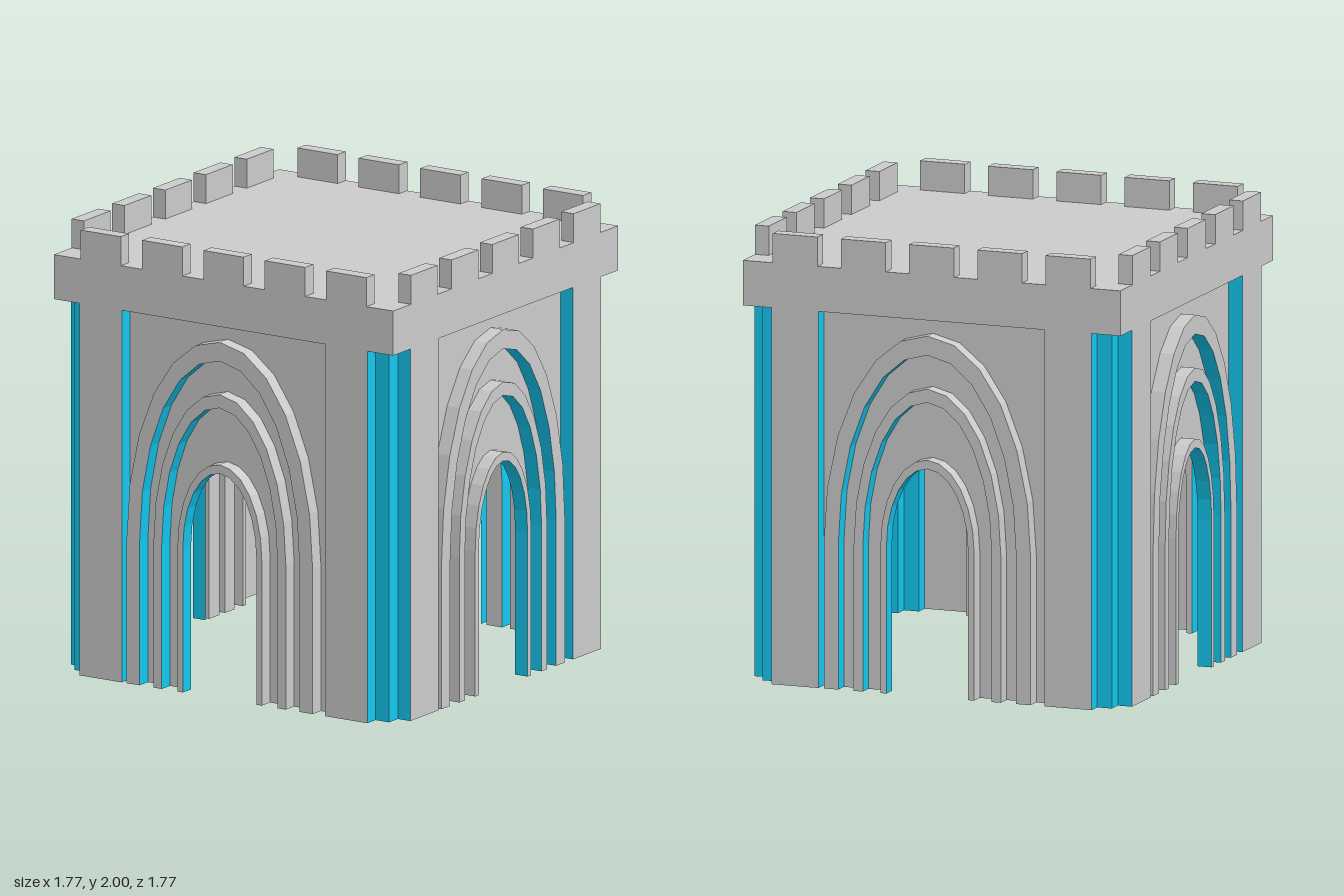
import * as THREE from 'three';

const OUT = 0.885, MID = 0.82, IN = 0.75; // wall plane and its two step-backs
const EAVE = 1.67, ROOF = 1.87, TOP = 2;

const grey = new THREE.MeshStandardMaterial({ color: 0xcccccc, side: THREE.DoubleSide, flatShading: true });
const cyan = new THREE.MeshStandardMaterial({ color: 0x14c8f0, side: THREE.DoubleSide, flatShading: true });

function add(group, name, geometry, material) {
  const mesh = new THREE.Mesh(geometry, material);
  mesh.name = name;
  group.add(mesh);
  return mesh;
}

// Flat sheet facing +z from a list of [x, y]
function sheet(points, z) {
  const shape = new THREE.Shape(points.map(([x, y]) => new THREE.Vector2(x, y)));
  return new THREE.ShapeGeometry(shape).translate(0, 0, z);
}

// Band joining two equally long lists of [x, y, z]
function band(a, b) {
  const pos = [];
  for (let i = 0; i + 1 < a.length; i++) {
    pos.push(...a[i], ...a[i + 1], ...b[i + 1], ...a[i], ...b[i + 1], ...b[i]);
  }
  const g = new THREE.BufferGeometry();
  g.setAttribute('position', new THREE.Float32BufferAttribute(pos, 3));
  g.computeVertexNormals();
  return g;
}

// Reveal running in depth along a path of [x, y]
function reveal(path) {
  return band(path.map(([x, y]) => [x, y, OUT]), path.map(([x, y]) => [x, y, MID]));
}

// Tall half-ellipse arch on straight jambs, standing slightly off centre
function arch(halfWidth, apex) {
  const cx = -0.02, spring = 0.65, n = 12;
  const pts = [[cx - halfWidth, 0]];
  for (let i = 0; i <= n; i++) {
    const a = Math.PI * (1 - i / n);
    pts.push([cx + halfWidth * Math.cos(a), spring + (apex - spring) * Math.sin(a)]);
  }
  pts.push([cx + halfWidth, 0]);
  return pts;
}

const between = (outer, inner) => [...outer, ...inner.slice().reverse()];

function buildSide() {
  const side = new THREE.Group();

  // Outer wall around the panel, with the full-width crown band above
  const panel = [[-0.53, 0], [-0.53, EAVE], [0.53, EAVE], [0.53, 0]];
  add(side, 'outerWall', sheet([
    [-IN, 0], [-IN, EAVE], [-OUT, EAVE], [-OUT, ROOF],
    [OUT, ROOF], [OUT, EAVE], [IN, EAVE], [IN, 0], ...panel.slice().reverse(),
  ], OUT), grey);
  add(side, 'panelReveal', reveal(panel), cyan);

  // Three raised arch rings with recessed sheets between them
  let previous = panel;
  const rings = [
    [0.485, 1.6, 0.417, 1.515],
    [0.345, 1.365, 0.302, 1.305],
    [0.22, 1.05, 0.192, 1.01],
  ];
  for (const [w0, h0, w1, h1] of rings) {
    const outer = arch(w0, h0), inner = arch(w1, h1);
    add(side, 'recessedPanel', sheet(between(previous, outer), MID), grey);
    add(side, 'archRingOuterEdge', reveal(outer), grey);
    add(side, 'archRingFace', sheet(between(outer, inner), OUT), grey);
    add(side, 'archRingReveal', reveal(inner), cyan);
    previous = inner;
  }

  // Stepped corner and the underside of the crown above it
  const corner = [[IN, OUT], [IN, MID], [MID, MID], [MID, IN], [OUT, IN]];
  add(side, 'steppedCorner', band(
    corner.map(([x, z]) => [x, 0, z]),
    corner.map(([x, z]) => [x, EAVE, z]),
  ), cyan);
  const soffit = sheet([...corner, [OUT, OUT]], 0);
  soffit.rotateX(Math.PI / 2).translate(0, EAVE, 0);
  add(side, 'cornerSoffit', soffit, cyan);

  // Battlements
  for (let i = -2; i <= 2; i++) {
    const merlon = new THREE.BoxGeometry(0.21, TOP - ROOF, OUT - MID);
    merlon.translate(i * 0.32, (TOP + ROOF) / 2, (OUT + MID) / 2);
    add(side, 'merlon', merlon, grey);
  }
  return side;
}

export function createModel() {
  const model = new THREE.Group();
  model.name = 'archedTower';

  // Four identical sides
  ['frontSide', 'leftSide', 'backSide', 'rightSide'].forEach((name, i) => {
    const side = buildSide();
    side.name = name;
    side.rotation.y = i * Math.PI / 2;
    model.add(side);
  });

  // Flat roof
  const roof = new THREE.PlaneGeometry(2 * OUT, 2 * OUT);
  roof.rotateX(-Math.PI / 2).translate(0, ROOF, 0);
  add(model, 'roof', roof, grey);
  return model;
}
